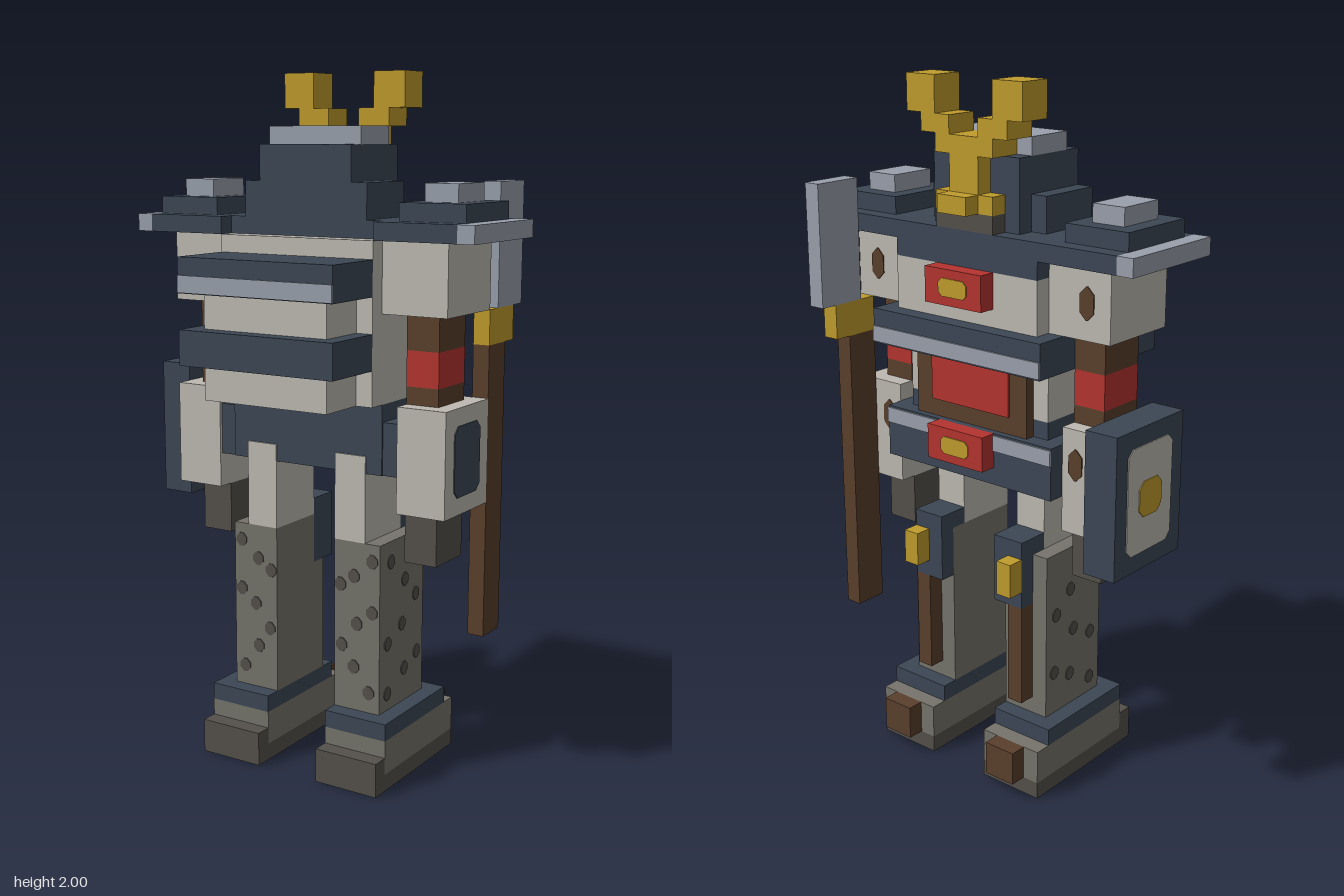
import * as THREE from 'three';

const mat = (name, color) => {
  const m = new THREE.MeshStandardMaterial({ color });
  m.name = name;
  return m;
};

export function createModel() {
  const navy = mat('navy armour', 0x3c4755);
  const steel = mat('pale steel', 0x9aa1ac);
  const cloth = mat('beige cloth', 0xbebab2);
  const grey = mat('legging grey', 0x75736b);
  const dark = mat('dark grey', 0x54504b);
  const brown = mat('brown leather', 0x5a3f2c);
  const red = mat('red lacquer', 0xb4342f);
  const gold = mat('gold', 0xc09c2d);

  const model = new THREE.Group();
  model.name = 'armouredWarrior';
  const group = (name) => {
    const g = new THREE.Group();
    g.name = name;
    model.add(g);
    return g;
  };

  // Box given by its limits on each axis
  const box = (g, name, m, x0, x1, y0, y1, z0, z1) => {
    const mesh = new THREE.Mesh(new THREE.BoxGeometry(x1 - x0, y1 - y0, z1 - z0), m);
    mesh.position.set((x0 + x1) / 2, (y0 + y1) / 2, (z0 + z1) / 2);
    mesh.name = name;
    g.add(mesh);
  };
  // Box mirrored to the side s (+1 or -1)
  const side = (g, s, name, m, x0, x1, ...yz) =>
    box(g, name, m, Math.min(s * x0, s * x1), Math.max(s * x0, s * x1), ...yz);

  // Thin painted plate with clipped corners, turned about y
  const plate = (g, name, m, w, h, x, y, z, turn, cut = 0.02) => {
    const a = w / 2, b = h / 2;
    const shape = new THREE.Shape([
      [-a + cut, -b], [a - cut, -b], [a, -b + cut], [a, b - cut],
      [a - cut, b], [-a + cut, b], [-a, b - cut], [-a, -b + cut],
    ].map(([u, v]) => new THREE.Vector2(u, v)));
    const geo = new THREE.ExtrudeGeometry(shape, { depth: 0.003, bevelEnabled: false });
    const mesh = new THREE.Mesh(geo, m);
    mesh.position.set(x, y, z);
    mesh.rotation.y = turn;
    mesh.name = name;
    g.add(mesh);
  };
  const RIGHT = Math.PI / 2, BACK = Math.PI;

  // Blotches on the leggings: offset across the face, height
  const spots = [
    [0.05, 0.65], [-0.01, 0.6], [-0.055, 0.57], [0.05, 0.5],
    [0.0, 0.46], [-0.05, 0.39], [-0.01, 0.33], [0.04, 0.26],
  ];

  for (const s of [1, -1]) {
    // Feet and legs
    const leg = group(s > 0 ? 'leftLeg' : 'rightLeg');
    side(leg, s, 'heel', dark, 0.1, 0.3, 0, 0.1, 0.15, 0.2);
    side(leg, s, 'sole', dark, 0.1, 0.3, 0, 0.05, -0.25, 0.15);
    side(leg, s, 'shoe', grey, 0.1, 0.3, 0.05, 0.15, -0.25, 0.15);
    side(leg, s, 'toe', brown, 0.15, 0.25, 0.05, 0.15, -0.3, -0.25);
    side(leg, s, 'ankleBand', navy, 0.1, 0.3, 0.15, 0.2, -0.2, 0.15);
    side(leg, s, 'shin', grey, 0.1, 0.25, 0.2, 0.7, -0.15, 0.1);
    side(leg, s, 'thigh', cloth, 0.1, 0.2, 0.7, 0.95, -0.1, 0.1);
    side(leg, s, 'shinGuard', brown, 0.15, 0.2, 0.25, 0.55, -0.2, -0.15);
    side(leg, s, 'kneeGuard', navy, 0.1, 0.2, 0.55, 0.75, -0.2, -0.1);
    side(leg, s, 'kneeStud', gold, 0.15, 0.2, 0.6, 0.7, -0.25, -0.2);
    for (const [u, y] of spots) {
      plate(leg, 'blotch', dark, 0.036, 0.04, s * (0.175 + u), y, 0.1, 0, 0.012);
      plate(leg, 'blotch', dark, 0.036, 0.04, s * 0.25, 0.9 - y, -0.025 + u * 1.6, s * RIGHT, 0.012);
    }

    // Arms
    const arm = group(s > 0 ? 'leftArm' : 'rightArm');
    side(arm, s, 'sleeve', cloth, 0.25, 0.45, 1.35, 1.55, -0.15, 0.1);
    side(arm, s, 'upperArm', brown, 0.3, 0.4, 1.25, 1.35, -0.1, 0.05);
    side(arm, s, 'armBand', red, 0.3, 0.4, 1.15, 1.25, -0.1, 0.05);
    side(arm, s, 'elbow', brown, 0.3, 0.4, 1.1, 1.15, -0.1, 0.05);
    side(arm, s, 'forearm', cloth, 0.3, 0.45, 0.8, 1.1, -0.15, 0.1);
    side(arm, s, 'hand', dark, 0.3, 0.4, 0.65, 0.8, -0.1, 0.05);
    plate(arm, 'sleeveMark', brown, 0.045, 0.09, s * 0.375, 1.45, -0.15, BACK);
    plate(arm, 'forearmMark', brown, 0.045, 0.09, s * 0.345, 1.0, -0.15, BACK);
    if (s > 0) plate(arm, 'forearmPlate', navy, 0.15, 0.2, 0.45, 0.95, -0.025, RIGHT);

    // Stepped shoulder pads
    const pad = group(s > 0 ? 'leftShoulderPad' : 'rightShoulderPad');
    side(pad, s, 'padBase', navy, 0.25, 0.5, 1.55, 1.6, -0.2, 0.15);
    side(pad, s, 'padRim', steel, 0.5, 0.55, 1.55, 1.6, -0.2, 0.15);
    side(pad, s, 'padTop', navy, 0.3, 0.5, 1.6, 1.65, -0.15, 0.1);
    side(pad, s, 'padKnob', steel, 0.35, 0.45, 1.65, 1.7, -0.1, 0.05);
  }

  // Torso
  const torso = group('torso');
  box(torso, 'chest', cloth, -0.25, 0.25, 1.1, 1.55, -0.15, 0.15);
  box(torso, 'breast', cloth, -0.25, 0.25, 1.35, 1.5, -0.2, -0.15);
  box(torso, 'collar', navy, -0.25, 0.25, 1.5, 1.6, -0.2, 0.1);
  box(torso, 'chestBand', navy, -0.3, 0.3, 1.25, 1.35, -0.25, -0.1);
  box(torso, 'chestBandStripe', steel, -0.3, 0.3, 1.255, 1.3, -0.255, -0.25);
  box(torso, 'abdomen', brown, -0.2, 0.2, 1.05, 1.25, -0.18, -0.15);
  box(torso, 'sash', red, -0.14, 0.14, 1.1, 1.23, -0.186, -0.18);
  box(torso, 'pelvis', navy, -0.25, 0.25, 0.9, 1.1, -0.15, 0.095);
  box(torso, 'belt', navy, -0.3, 0.3, 0.9, 1.05, -0.2, 0.09);
  box(torso, 'beltStripe', steel, -0.3, 0.3, 1.0, 1.045, -0.205, -0.2);
  for (const [name, y] of [['chestBadge', 1.4], ['beltBuckle', 0.95]]) {
    box(torso, name, red, -0.1, 0.1, y, y + 0.1, -0.25, -0.2);
    plate(torso, name + 'Inlay', gold, 0.1, 0.05, 0, y + 0.05, -0.25, BACK, 0.012);
  }

  // Rolled pack
  const pack = group('pack');
  box(pack, 'packBody', cloth, -0.2, 0.2, 1.1, 1.4, 0.15, 0.3);
  box(pack, 'upperRoll', navy, -0.25, 0.25, 1.4, 1.5, 0.15, 0.35);
  box(pack, 'rollStripe', steel, -0.25, 0.25, 1.402, 1.45, 0.35, 0.354);
  box(pack, 'lowerRoll', navy, -0.25, 0.25, 1.2, 1.3, 0.15, 0.35);

  // Helmet and crest
  const head = group('helmet');
  box(head, 'helmetShell', navy, -0.15, 0.15, 1.55, 1.8, -0.15, 0.1);
  box(head, 'neckGuard', navy, -0.2, 0.2, 1.6, 1.7, -0.1, 0.1);
  box(head, 'helmetCap', steel, -0.15, 0.15, 1.8, 1.85, -0.1, 0.05);
  box(head, 'chin', dark, -0.1, 0.1, 1.6, 1.65, -0.2, -0.15);
  box(head, 'brow', gold, -0.1, 0.1, 1.65, 1.7, -0.2, -0.15);
  box(head, 'nose', gold, -0.05, 0.05, 1.65, 1.7, -0.25, -0.2);
  box(head, 'crestStem', gold, -0.05, 0.05, 1.7, 1.8, -0.2, -0.15);
  box(head, 'crestBar', gold, -0.1, 0.1, 1.8, 1.85, -0.2, -0.1);
  for (const s of [1, -1]) {
    side(head, s, 'hornBase', gold, 0.05, 0.15, 1.85, 1.9, -0.2, -0.1);
    side(head, s, 'hornTip', gold, 0.1, 0.2, 1.9, 2, -0.2, -0.1);
  }

  // Bladed pole on the left
  const weapon = group('bladedPole');
  box(weapon, 'pole', brown, 0.4, 0.45, 0.4, 1.25, -0.25, -0.15);
  box(weapon, 'guard', gold, 0.4, 0.45, 1.25, 1.35, -0.3, -0.15);
  box(weapon, 'blade', steel, 0.4, 0.45, 1.35, 1.7, -0.35, -0.2);

  // Shield on the right
  const shield = group('shield');
  box(shield, 'shieldBody', navy, -0.55, -0.45, 0.75, 1.15, -0.25, 0.05);
  plate(shield, 'shieldPanel', cloth, 0.2, 0.3, -0.55, 0.95, -0.1, -RIGHT);
  plate(shield, 'shieldBoss', gold, 0.1, 0.1, -0.553, 0.95, -0.1, -RIGHT);

  return model;
}
